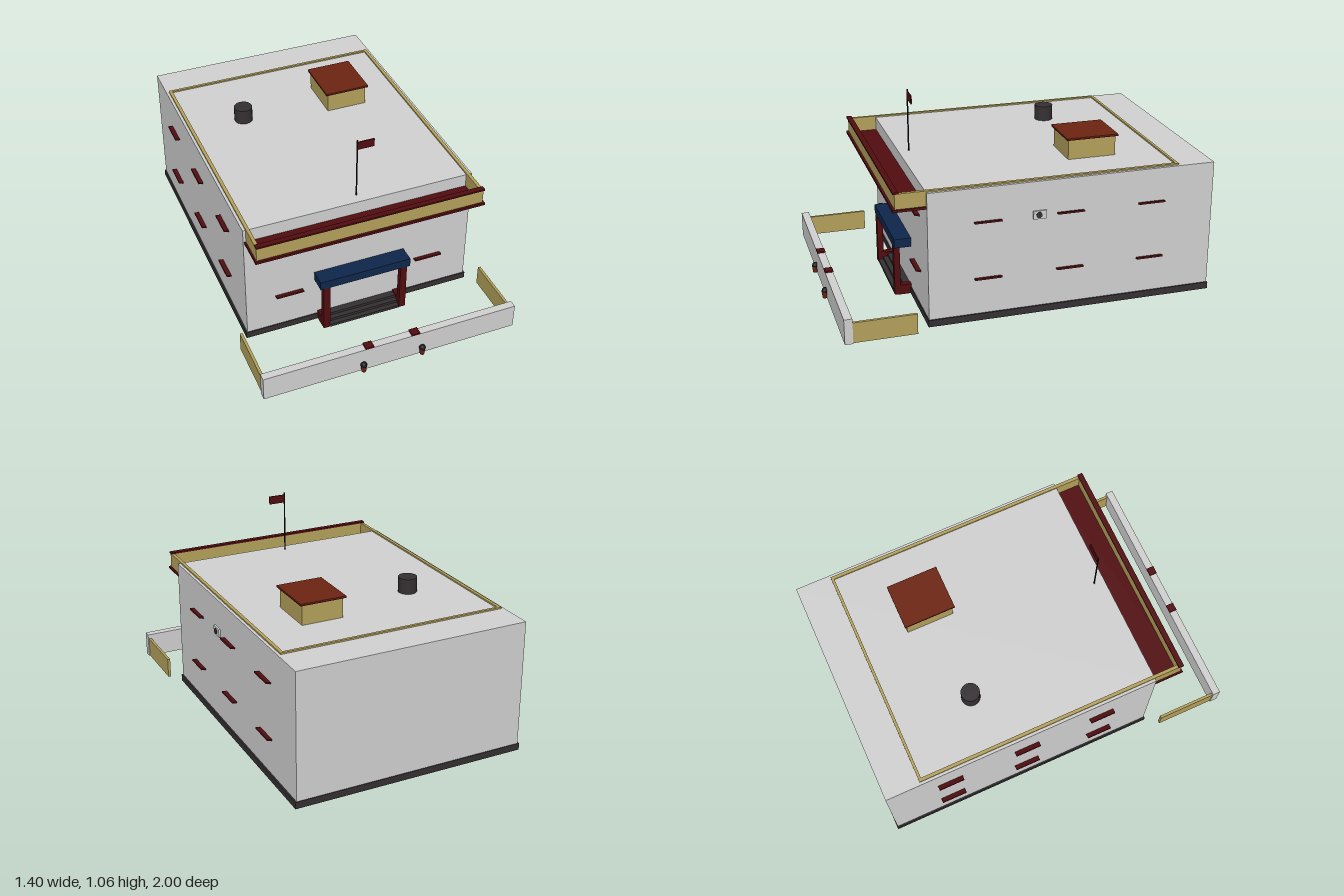
import * as THREE from 'three';

const paint = (name, color) => {
  const m = new THREE.MeshStandardMaterial({ color });
  m.name = name;
  return m;
};

export function createModel() {
  const white = paint('wall white', 0xd2d2d2);
  const tan = paint('tan', 0xb5a25c);
  const red = paint('dark red', 0x520d10);
  const brick = paint('brick', 0x6e2411);
  const blue = paint('navy blue', 0x0f274c);
  const dark = paint('charcoal', 0x353033);
  const black = paint('black', 0x161416);

  const model = new THREE.Group();
  model.name = 'building';

  const add = (name, geometry, material, x, y, z) => {
    const mesh = new THREE.Mesh(geometry, material);
    mesh.name = name;
    mesh.position.set(x, y, z);
    model.add(mesh);
    return mesh;
  };
  // Box given by its extents along each axis
  const box = (name, material, [x0, x1], [y0, y1], [z0, z1]) =>
    add(name, new THREE.BoxGeometry(x1 - x0, y1 - y0, z1 - z0), material,
      (x0 + x1) / 2, (y0 + y1) / 2, (z0 + z1) / 2);
  const sides = [-1, 1];
  // The same box on the left and the right
  const pair = (name, material, [x0, x1], y, z) => sides.forEach((s) =>
    box(name, material, s > 0 ? [x0, x1] : [-x1, -x0], y, z));

  // Main block and plinth
  box('mainBlock', white, [-0.63, 0.63], [0.03, 0.727], [-0.996, 0.532]);
  box('plinth', dark, [-0.638, 0.638], [0.006, 0.043], [-1, 0.537]);

  // Tan roof border
  pair('roofBorderSide', tan, [0.597, 0.615], [0.722, 0.735], [-0.803, 0.532]);
  box('roofBorderBack', tan, [-0.615, 0.615], [0.722, 0.735], [-0.803, -0.788]);

  // Hollow cornice projecting over the front
  box('corniceFloor', red, [-0.624, 0.624], [0.642, 0.655], [0.53, 0.7]);
  box('corniceFront', tan, [-0.615, 0.615], [0.655, 0.735], [0.67, 0.688]);
  pair('corniceSide', tan, [0.597, 0.615], [0.655, 0.735], [0.532, 0.672]);
  box('corniceRail', red, [-0.618, 0.618], [0.734, 0.743], [0.668, 0.697]);

  // Stair house and tank on the roof
  box('stairHouse', tan, [0.155, 0.38], [0.727, 0.835], [-0.545, -0.285]);
  box('stairHouseEave', red, [0.142, 0.392], [0.834, 0.84], [-0.556, -0.274]);
  box('stairHouseRoof', brick, [0.142, 0.392], [0.84, 0.845], [-0.556, -0.274]);
  add('waterTank', new THREE.CylinderGeometry(0.05, 0.05, 0.083, 20), dark, -0.308, 0.768, -0.385);

  // Flagpole and flag
  add('flagpole', new THREE.CylinderGeometry(0.004, 0.004, 0.34, 8), black, 0, 0.895, 0.475);
  box('flag', red, [0.003, 0.092], [1.01, 1.055], [0.472, 0.478]);

  // Tilted window awnings, outer edge raised
  for (const y of [0.547, 0.24]) {
    for (const z of [0.225, -0.21, -0.65]) {
      for (const s of sides) {
        add('sideAwning', new THREE.BoxGeometry(0.03, 0.008, 0.14), red, s * 0.641, y, z)
          .rotation.z = s * 0.2;
      }
    }
    for (const s of sides) {
      add('frontAwning', new THREE.BoxGeometry(0.15, 0.008, 0.03), red, s * 0.395, y + 0.003, 0.543)
        .rotation.x = -0.2;
    }
  }
  add('middleAwning', new THREE.BoxGeometry(0.205, 0.01, 0.03), red, 0, 0.556, 0.543)
    .rotation.x = -0.2;

  // Air conditioner with round fan
  box('airConditioner', white, [0.625, 0.639], [0.527, 0.571], [-0.082, -0.012]);
  add('airConditionerFan', new THREE.CylinderGeometry(0.016, 0.016, 0.004, 16), dark, 0.64, 0.549, -0.042)
    .rotation.z = Math.PI / 2;

  // Entrance porch
  box('porchRoof', blue, [-0.254, 0.254], [0.285, 0.334], [0.53, 0.622]);
  box('porchLintel', tan, [-0.2, 0.2], [0.27, 0.286], [0.532, 0.55]);
  pair('porchColumn', red, [0.2, 0.236], [0.008, 0.29], [0.59, 0.622]);
  pair('stepCurb', red, [0.2, 0.236], [0.006, 0.06], [0.53, 0.6]);
  for (let i = 0; i < 3; i++) {
    box('entranceStep', dark, [-0.2, 0.2], [0.004, 0.02 + i * 0.015], [0.532, 0.62 - i * 0.026]);
  }

  // Front wall with red caps, and tan side walls
  box('frontWall', white, [-0.7, 0.7], [0.008, 0.145], [0.932, 0.974]);
  pair('wallCap', red, [0.105, 0.151], [0.144, 0.154], [0.931, 0.975]);
  pair('sideWall', tan, [0.68, 0.695], [0.01, 0.12], [0.605, 0.933]);

  // Potted shrubs in front of the wall
  for (const s of sides) {
    add('plantPot', new THREE.CylinderGeometry(0.016, 0.012, 0.036, 10), brick, s * 0.164, 0.028, 0.984);
    add('shrub', new THREE.IcosahedronGeometry(0.018, 1), black, s * 0.164, 0.051, 0.982);
  }

  return model;
}
